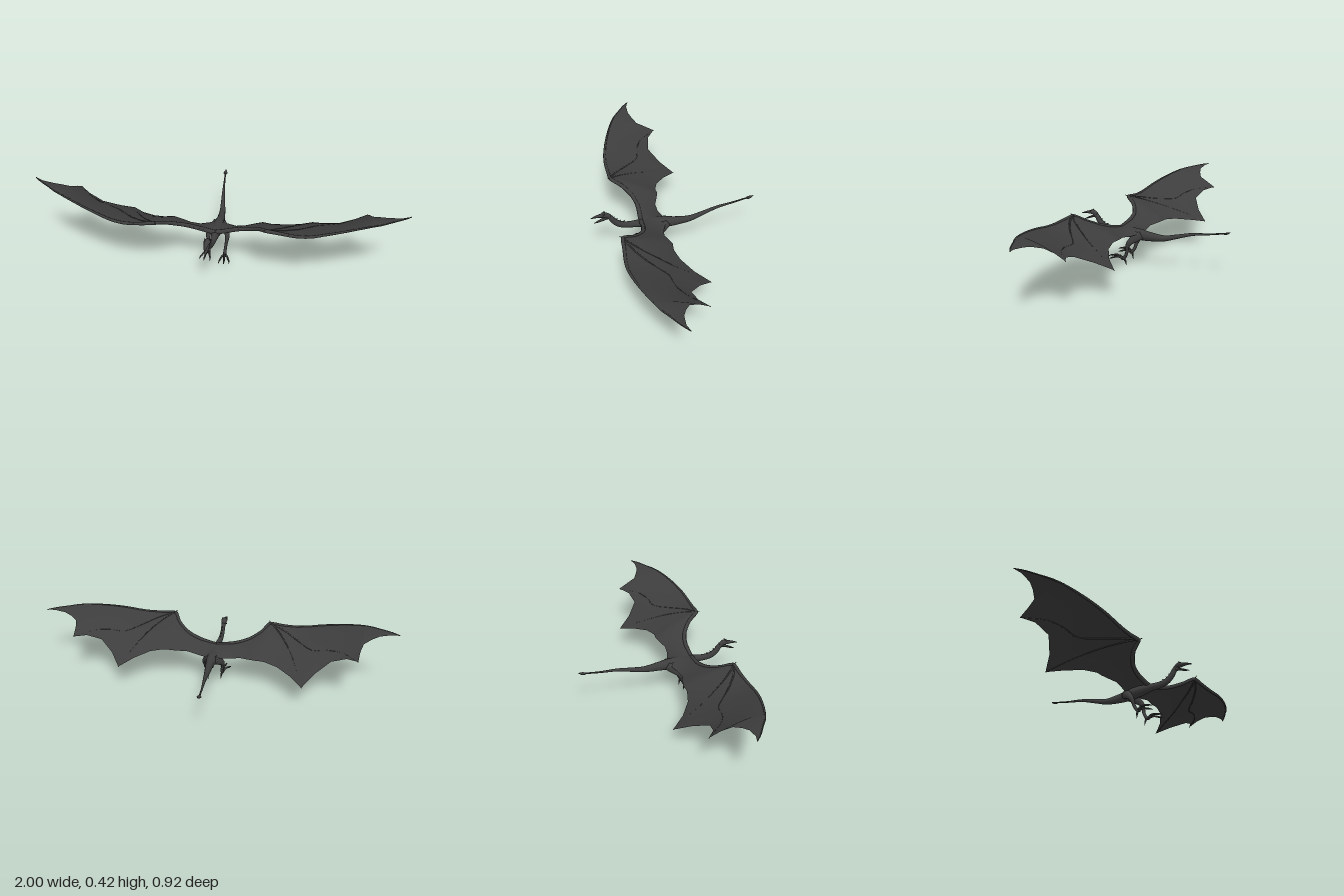
import * as THREE from 'three';

const hide = new THREE.MeshStandardMaterial({ color: 0x3d3d3d });
hide.name = 'dark hide';
const membraneHide = new THREE.MeshStandardMaterial({ color: 0x3d3d3d, side: THREE.DoubleSide });
membraneHide.name = 'dark membrane';

const V = (x, y, z) => new THREE.Vector3(x, y, z);

function addMesh(parent, name, geometry, material = hide) {
  const mesh = new THREE.Mesh(geometry, material);
  mesh.name = name;
  parent.add(mesh);
  return mesh;
}

// Indexed grid of quads; closed grids wrap around in the second direction
function grid(positions, rows, cols, closed) {
  const index = [];
  for (let i = 0; i < rows - 1; i++) {
    for (let j = 0; j < (closed ? cols : cols - 1); j++) {
      const k = (j + 1) % cols;
      const a = i * cols + j, b = i * cols + k, c = a + cols, d = b + cols;
      index.push(a, b, c, b, d, c);
    }
  }
  const g = new THREE.BufferGeometry();
  g.setAttribute('position', new THREE.Float32BufferAttribute(positions, 3));
  g.setIndex(index);
  g.computeVertexNormals();
  return g;
}

// Smooth limb through points [x, y, z, side radius, other radius]
function limb(points, ref = V(1, 0, 0), sides = 10, steps = 5) {
  const path = new THREE.CatmullRomCurve3(points.map(p => V(p[0], p[1], p[2])), false, 'catmullrom', 0.5);
  const radii = new THREE.CatmullRomCurve3(points.map(p => V(p[3], p[4] ?? p[3], 0)), false, 'catmullrom', 0.5);
  const n = (points.length - 1) * steps, pos = [];
  for (let i = -1; i <= n + 1; i++) {
    const t = Math.min(Math.max(i / n, 0), 1);
    const end = i < 0 || i > n;
    const c = path.getPoint(t), r = radii.getPoint(t), dir = path.getTangent(t);
    const side = ref.clone().addScaledVector(dir, -ref.dot(dir)).normalize();
    const up = dir.clone().cross(side);
    for (let j = 0; j < sides; j++) {
      const a = (j / sides) * Math.PI * 2;
      const rx = end ? 0 : Math.max(r.x, 0.0006), ry = end ? 0 : Math.max(r.y, 0.0006);
      const p = c.clone().addScaledVector(side, Math.cos(a) * rx).addScaledVector(up, Math.sin(a) * ry);
      pos.push(p.x, p.y, p.z);
    }
  }
  return grid(pos, n + 3, sides, true);
}

// Pointed cone from a base point to a tip
function spike(parent, name, base, tip, radius) {
  const d = tip.clone().sub(base);
  const mesh = addMesh(parent, name, new THREE.ConeGeometry(radius, d.length(), 6));
  mesh.position.copy(base).addScaledVector(d, 0.5);
  mesh.quaternion.setFromUnitVectors(V(0, 1, 0), d.normalize());
}

// Wing stations: x, leading z, leading y, trailing z, trailing y
const stations = [
  [0, .2, .213, .03, .2], [.04, .2, .22, .06, .19], [.1, .2, .233, .08, .187], [.155, .21, .248, .085, .195],
  [.2, .23, .263, .07, .2], [.25, .27, .288, .056, .205], [.28, .318, .312, .06, .203], [.3, .33, .315, .06, .2],
  [.37, .332, .307, .04, .19], [.45, .336, .305, -.015, .172], [.52, .334, .316, -.09, .155],
  [.58, .325, .333, -.015, .205], [.66, .306, .355, .045, .258], [.74, .28, .376, .03, .293],
  [.8, .257, .39, -.015, .308], [.806, .254, .391, .04, .338], [.82, .248, .394, .09, .36],
  [.86, .228, .4, .115, .38], [.9, .2, .406, .132, .394], [.96, .16, .413, .135, .407], [1, .125, .416, .122, .415],
];

// Point on the wing at span x and chord fraction s; the two wings are held a little differently
function wingPoint(sign, x, s) {
  let i = 0;
  while (i < stations.length - 2 && stations[i + 1][0] < x) i++;
  const a = stations[i], b = stations[i + 1];
  const f = (x - a[0]) / (b[0] - a[0]);
  const [, zl, yl, zt, yt] = a.map((v, k) => v + (b[k] - v) * f);
  const camber = 0.05 * (zl - zt) * 4 * s * (1 - s);
  let y = yl + (yt - yl) * s + camber, px = x;
  if (sign > 0) {
    y += 0.012 * Math.sin(Math.PI * Math.min(x / 0.9, 1)) - 0.058 * Math.max(0, (x - 0.4) / 0.6);
    px -= 0.016 * Math.sin(Math.PI * x);
  }
  return V(sign * px, y, zl + (zt - zl) * s);
}

function buildWing(sign) {
  const wing = new THREE.Group();
  wing.name = sign > 0 ? 'leftWing' : 'rightWing';
  // Membrane, wound so its upper face points up on both sides
  const cols = 10, pos = [];
  for (const st of stations) {
    for (let j = 0; j < cols; j++) {
      const s = j / (cols - 1);
      pos.push(...wingPoint(sign, st[0], sign > 0 ? 1 - s : s).toArray());
    }
  }
  addMesh(wing, 'membrane', grid(pos, stations.length, cols, false), membraneHide);
  // Arm along the leading edge
  const arm = stations.map(st => {
    const p = wingPoint(sign, st[0], 0);
    const r = 0.013 - 0.0105 * st[0];
    return [p.x, p.y - r * 0.5, p.z - r * 0.8, r];
  });
  addMesh(wing, 'wingArm', limb(arm, V(0, 1, 0), 8, 3));
  // Finger bones fan from the wrist to the membrane points
  for (const tipX of [0.52, 0.8]) {
    const bone = [];
    for (let i = 0; i <= 6; i++) {
      const f = i / 6;
      const p = wingPoint(sign, 0.295 + (tipX - 0.295) * f, 0.02 + 0.98 * f);
      bone.push([p.x, p.y - 0.002, p.z, 0.0055 - 0.004 * f]);
    }
    addMesh(wing, 'wingFinger', limb(bone, V(0, 1, 0), 6, 3));
  }
  // Wrist claw
  const w = wingPoint(sign, 0.288, 0);
  spike(wing, 'wristClaw', w.clone().add(V(sign * 0.008, -0.004, -0.012)), w.clone().add(V(-sign * 0.008, 0.008, 0.018)), 0.007);
  return wing;
}

function buildLeg(sign) {
  const leg = new THREE.Group();
  leg.name = sign > 0 ? 'leftLeg' : 'rightLeg';
  const lift = sign > 0 ? 0 : 0.014;
  const m = sign;
  addMesh(leg, 'shank', limb([
    [m * .018, .185, .045, .018, .024], [m * .036, .168, .075, .017, .024], [m * .052, .14, .105, .013, .016],
    [m * .05, .108, .12, .009, .011], [m * .046, .078 + lift / 2, .125, .008, .009],
    [m * .044, .045 + lift, .142, .009, .009], [m * .045, .036 + lift, .158, .008, .007],
  ]));
  // Three front toes with claws
  for (const [dx, dz, dy] of [[-.02, .062, .004], [.008, .078, .012], [.032, .06, .006]]) {
    const x = m * .045, y = .04 + lift, z = .148;
    addMesh(leg, 'toe', limb([
      [x, y, z, .007], [x + m * dx * .5, y + dy + .006, z + dz * .45, .0055],
      [x + m * dx * .85, y + dy, z + dz * .85, .005], [x + m * dx, y + dy - .002, z + dz, .004],
      [x + m * dx * 1.1, y + dy - .01, z + dz + .018, .0008],
    ], V(1, 0, 0), 6, 3));
  }
  // Heel claw
  addMesh(leg, 'heelClaw', limb([
    [m * .044, .042 + lift, .146, .007], [m * .04, .025 + lift, .138, .005], [m * .037, .001 + lift, .134, .0008],
  ], V(1, 0, 0), 6, 3));
  return leg;
}

export function createModel() {
  const model = new THREE.Group();
  model.name = 'wingedCreature';

  // Tail, torso and curved neck in one smooth form
  addMesh(model, 'body', limb([
    [-.045, .25, -.43, .004], [-.037, .235, -.343, .005], [-.026, .222, -.245, .008], [-.015, .199, -.158, .012],
    [-.006, .181, -.084, .016, .017], [0, .18, 0, .022, .026], [0, .183, .06, .03, .031], [0, .188, .13, .031, .029],
    [0, .192, .2, .021, .021], [-.002, .19, .26, .015, .019], [-.004, .198, .305, .013, .019],
    [-.005, .222, .337, .012, .017], [-.005, .247, .354, .012, .015], [-.005, .265, .376, .012, .013],
  ], V(1, 0, 0), 14));

  // Leaf-shaped tail tip
  addMesh(model, 'tailTip', limb([
    [-.044, .247, -.415, .003], [-.045, .249, -.432, .012, .005], [-.046, .253, -.446, .008, .005], [-.046, .259, -.461, .001],
  ]));

  // Head with an open beak-like mouth
  const head = new THREE.Group();
  head.name = 'head';
  model.add(head);
  addMesh(head, 'skull', limb([
    [-.005, .258, .356, .01, .011], [-.005, .27, .385, .018, .014], [-.006, .267, .405, .014, .01],
    [-.006, .263, .432, .009, .006], [-.006, .254, .462, .002, .002],
  ]));
  addMesh(head, 'lowerJaw', limb([
    [-.005, .252, .366, .011, .009], [-.005, .242, .394, .011, .006], [-.006, .231, .42, .008, .005], [-.006, .221, .446, .001, .001],
  ]));
  for (const s of [-1, 1]) {
    spike(head, 'brow', V(-.005 + s * .01, .275, .395), V(-.005 + s * .013, .287, .384), .007);
  }

  // Spines down the back of the neck
  for (const [y, z, dy, dz] of [[.242, .343, .01, -.012], [.228, .328, .014, -.012], [.213, .31, .016, -.012], [.206, .29, .015, -.014]]) {
    spike(model, 'neckSpine', V(-.004, y, z), V(-.004, y + dy, z + dz), .007);
  }

  for (const s of [1, -1]) model.add(buildWing(s), buildLeg(s));
  return model;
}
